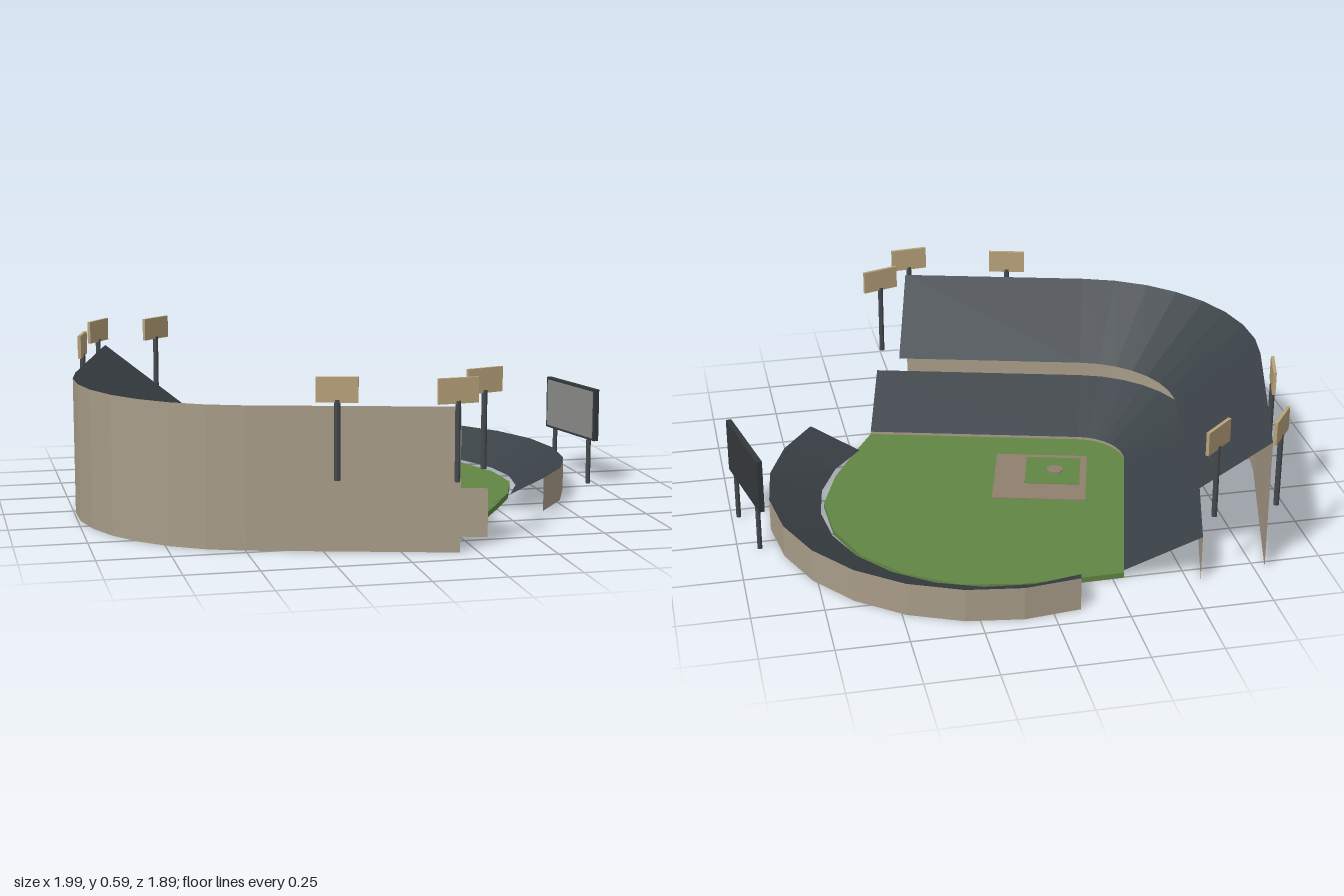
import * as THREE from 'three';

const mat = (color) => new THREE.MeshStandardMaterial({ color, flatShading: true, side: THREE.DoubleSide });
const rad = THREE.MathUtils.degToRad;

// Plan coordinates (a, b): the two foul lines, measured from the home corner.
const FILLET = 0.18;
const V = (a, b) => new THREE.Vector2(a, b);

// L-shaped path with a rounded corner, pushed outwards by offset
function cornerPath(offset, length, arcSteps = 8) {
  const pts = [V(-offset, length)];
  for (let i = 0; i <= arcSteps; i++) {
    const t = Math.PI + (i / arcSteps) * Math.PI / 2;
    const r = FILLET + offset;
    pts.push(V(FILLET + r * Math.cos(t), FILLET + r * Math.sin(t)));
  }
  pts.push(V(length, -offset));
  return pts;
}

// Arc of the outfield; the radius grows by flare towards both ends
function outfieldPath(radius, flare, halfAngle, steps = 10) {
  const pts = [];
  for (let i = 0; i <= steps; i++) {
    const k = (i / steps) * 2 - 1;
    const t = rad(45 + k * halfAngle);
    const r = radius + flare * k * k;
    pts.push(V(0.516 + r * Math.cos(t), 0.516 + r * Math.sin(t)));
  }
  return pts;
}

// Ribbon of quads between two paths, each at its own height
function strip(name, p, yp, q, yq, material) {
  const pos = [];
  const put = (v, y) => pos.push(v.x, y, -v.y);
  for (let i = 0; i < p.length - 1; i++) {
    put(p[i], yp); put(q[i], yq); put(q[i + 1], yq);
    put(p[i], yp); put(q[i + 1], yq); put(p[i + 1], yp);
  }
  const geo = new THREE.BufferGeometry();
  geo.setAttribute('position', new THREE.Float32BufferAttribute(pos, 3));
  geo.computeVertexNormals();
  const mesh = new THREE.Mesh(geo, material);
  mesh.name = name;
  return mesh;
}

// Flat slab from a plan outline
function slab(name, shape, y, depth, material) {
  const geo = new THREE.ExtrudeGeometry(shape, { depth, bevelEnabled: false, curveSegments: 16 });
  geo.rotateX(-Math.PI / 2).translate(0, y, 0);
  const mesh = new THREE.Mesh(geo, material);
  mesh.name = name;
  return mesh;
}

const square = (lo, hi) => [V(lo, lo), V(hi, lo), V(hi, hi), V(lo, hi)];

function part(name, geo, material, x, y, z) {
  const mesh = new THREE.Mesh(geo, material);
  mesh.name = name;
  mesh.position.set(x, y, z);
  return mesh;
}

export function createModel() {
  const model = new THREE.Group();
  model.name = 'stadium';
  const deck = mat(0x3a4146), wall = mat(0xa89c88), grass = mat(0x628544), dirt = mat(0x8f7f6e);
  const metal = mat(0x45494d), dark = mat(0x33383c), lampColor = mat(0xb8a27a), screenColor = mat(0x8a8a88);

  // Everything but the scoreboard lies in the turned frame of the foul lines
  const park = new THREE.Group();
  park.name = 'ballpark';
  park.position.set(-0.5465, 0, 0.2035);
  park.rotation.y = rad(-15);
  model.add(park);

  // Playing field: rounded home corner plus a bulging outfield edge
  const reach = [0.99, 1.05, 1.14, 1.235, 1.285, 1.305];
  const outline = cornerPath(0, 0.99);
  for (let i = 1; i < 10; i++) {
    const r = reach[i <= 5 ? i : 10 - i], t = rad(i * 9);
    outline.push(V(r * Math.cos(t), r * Math.sin(t)));
  }
  park.add(slab('field', new THREE.Shape(outline), 0, 0.02, grass));
  park.add(slab('infieldDirt', new THREE.Shape(square(0.143, 0.487)), 0.02, 0.003, dirt));
  park.add(slab('infieldGrass', new THREE.Shape(square(0.167, 0.372)), 0.023, 0.002, grass));
  park.add(slab('mound', new THREE.Shape().absarc(0.262, 0.262, 0.03, 0, Math.PI * 2), 0.025, 0.003, dirt));

  // Lower tier
  const lowIn = cornerPath(0, 0.99), lowOut = cornerPath(0.265, 0.99);
  park.add(strip('lowerDeck', lowIn, 0.03, lowOut, 0.17, deck));
  park.add(strip('lowerFrontWall', lowIn, 0, lowIn, 0.03, wall));
  park.add(strip('lowerBackWall', lowOut, 0.17, lowOut, 0, wall));

  // Upper tier
  const upIn = cornerPath(0.19, 0.892), upOut = cornerPath(0.49, 0.892);
  park.add(strip('upperDeck', upIn, 0.26, upOut, 0.49, deck));
  park.add(strip('upperBackWall', upOut, 0.49, upOut, 0, wall));

  // Outfield stand
  const farIn = outfieldPath(0.594, 0.028, 81.3), farOut = outfieldPath(0.785, -0.004, 73.4);
  park.add(strip('outfieldDeck', farIn, 0.025, farOut, 0.122, deck));
  park.add(strip('outfieldWall', farOut, 0.122, farOut, 0, wall));

  // Floodlights, mirrored across the line from home to centre field
  const poleGeo = new THREE.CylinderGeometry(0.01, 0.01, 0.27, 8);
  const lampGeo = new THREE.BoxGeometry(0.14, 0.085, 0.012);
  for (const [a, b, turn] of [[0.486, -0.513, 0], [0.88, -0.516, 21], [0.972, -0.3, 33]]) {
    for (const mirrored of [false, true]) {
      const light = new THREE.Group();
      light.name = 'floodlight';
      light.add(part('lightPole', poleGeo, metal, 0, 0.38, 0));
      light.add(part('lightPanel', lampGeo, lampColor, 0, 0.548, 0));
      light.position.set(mirrored ? b : a, 0, mirrored ? -a : -b);
      light.rotation.y = rad(mirrored ? 90 - turn : turn);
      park.add(light);
    }
  }

  // Scoreboard on two posts behind the outfield, screen towards the field
  const board = new THREE.Group();
  board.name = 'scoreboard';
  board.position.set(0.948, 0, -0.172);
  board.rotation.y = rad(12.2);
  board.add(part('boardPanel', new THREE.BoxGeometry(0.02, 0.198, 0.353), dark, 0, 0.272, 0));
  board.add(part('boardScreen', new THREE.BoxGeometry(0.004, 0.18, 0.33), screenColor, -0.011, 0.272, 0));
  for (const s of [-1, 1]) {
    board.add(part('boardPost', new THREE.CylinderGeometry(0.009, 0.009, 0.18, 8), metal, 0, 0.09, s * 0.124));
  }
  model.add(board);
  return model;
}
